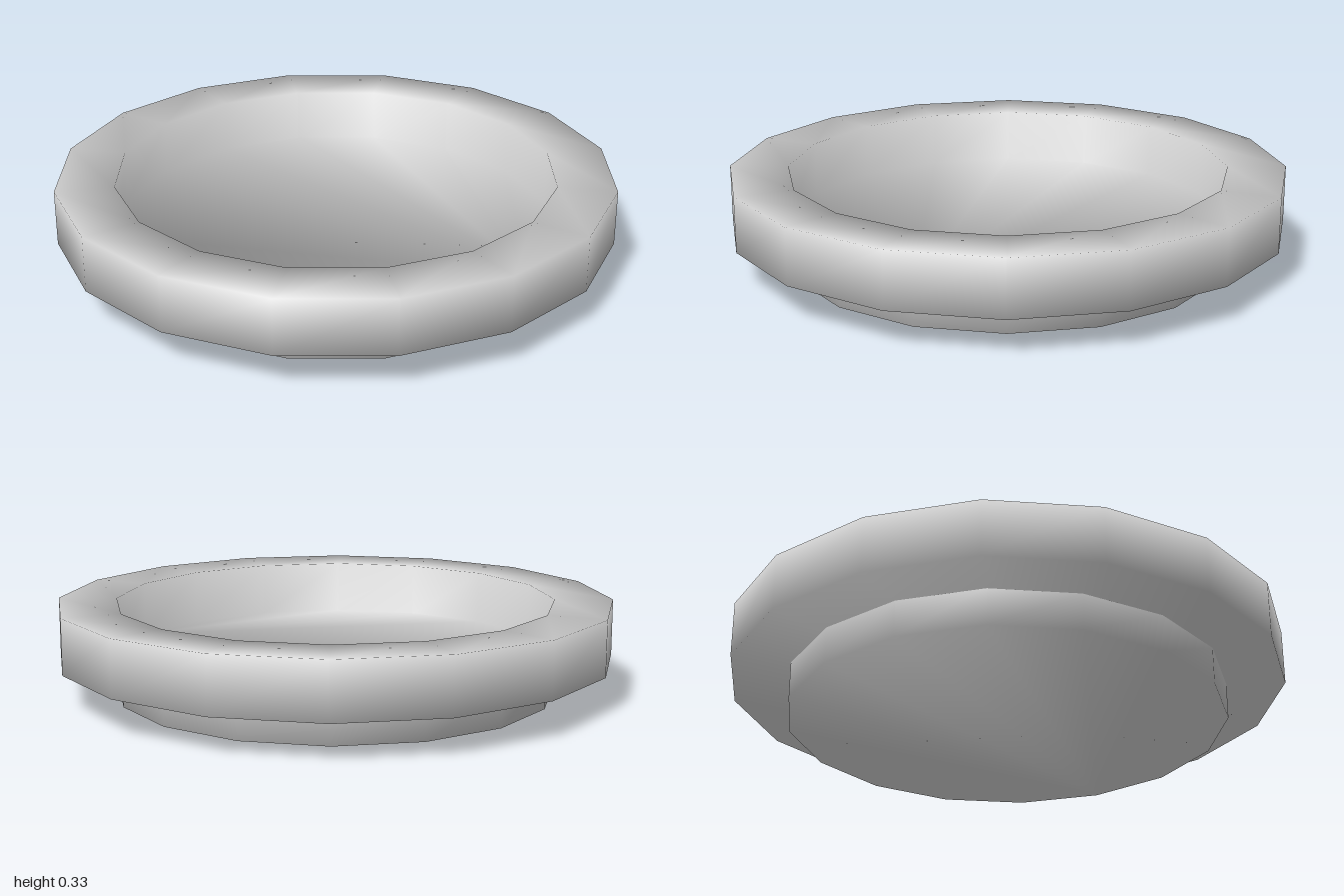
import * as THREE from 'three';

const SIDES = 16;

// Turns a profile of [radius, y] points into a 16-sided shell with soft
// normals: every vertex averages the polygons that meet there.
function turned(profile, capStart, capEnd) {
  const position = [], normal = [], index = [];
  const slope = profile.slice(1).map(([r, y], i) => {
    const dr = r - profile[i][0], dy = y - profile[i][1];
    return new THREE.Vector2(dy, -dr).normalize();
  });
  const last = profile.length - 1;
  profile.forEach(([r, y], i) => {
    const n = new THREE.Vector2();
    if (i > 0) n.addScaledVector(slope[i - 1], 2);
    if (i < last) n.addScaledVector(slope[i], 2);
    if (i === 0 && capStart) n.y -= 1;
    if (i === last && capEnd) n.y += 1;
    n.normalize();
    for (let j = 0; j < SIDES; j++) {
      const a = (j / SIDES) * Math.PI * 2, c = Math.cos(a), s = Math.sin(a);
      position.push(r * c, y, r * s);
      normal.push(n.x * c, n.y, n.x * s);
    }
  });
  // side quads
  for (let i = 0; i < last; i++) {
    for (let j = 0; j < SIDES; j++) {
      const k = (j + 1) % SIDES;
      const a = i * SIDES + j, b = i * SIDES + k;
      const c = b + SIDES, d = a + SIDES;
      index.push(b, a, d, b, d, c);
    }
  }
  // flat caps
  const top = last * SIDES;
  for (let j = 1; j < SIDES - 1; j++) {
    if (capStart) index.push(0, j, j + 1);
    if (capEnd) index.push(top, top + j + 1, top + j);
  }
  const g = new THREE.BufferGeometry();
  g.setAttribute('position', new THREE.Float32BufferAttribute(position, 3));
  g.setAttribute('normal', new THREE.Float32BufferAttribute(normal, 3));
  g.setIndex(index);
  return g;
}

export function createModel() {
  const group = new THREE.Group();
  group.name = 'dish';
  const material = new THREE.MeshStandardMaterial({ color: 0xcccccc });
  const add = (name, geometry) => {
    const mesh = new THREE.Mesh(geometry, material);
    mesh.name = name;
    group.add(mesh);
  };

  // wide body: underside, outer band, flat rim, inner wall and floor
  add('dishBody', turned([[1, 0.13], [1, 0.33], [0.79, 0.33], [0.79, 0.135]], true, true));

  // narrower foot below
  add('foot', turned([[0.79, 0], [0.79, 0.13]], true, false));

  return group;
}
